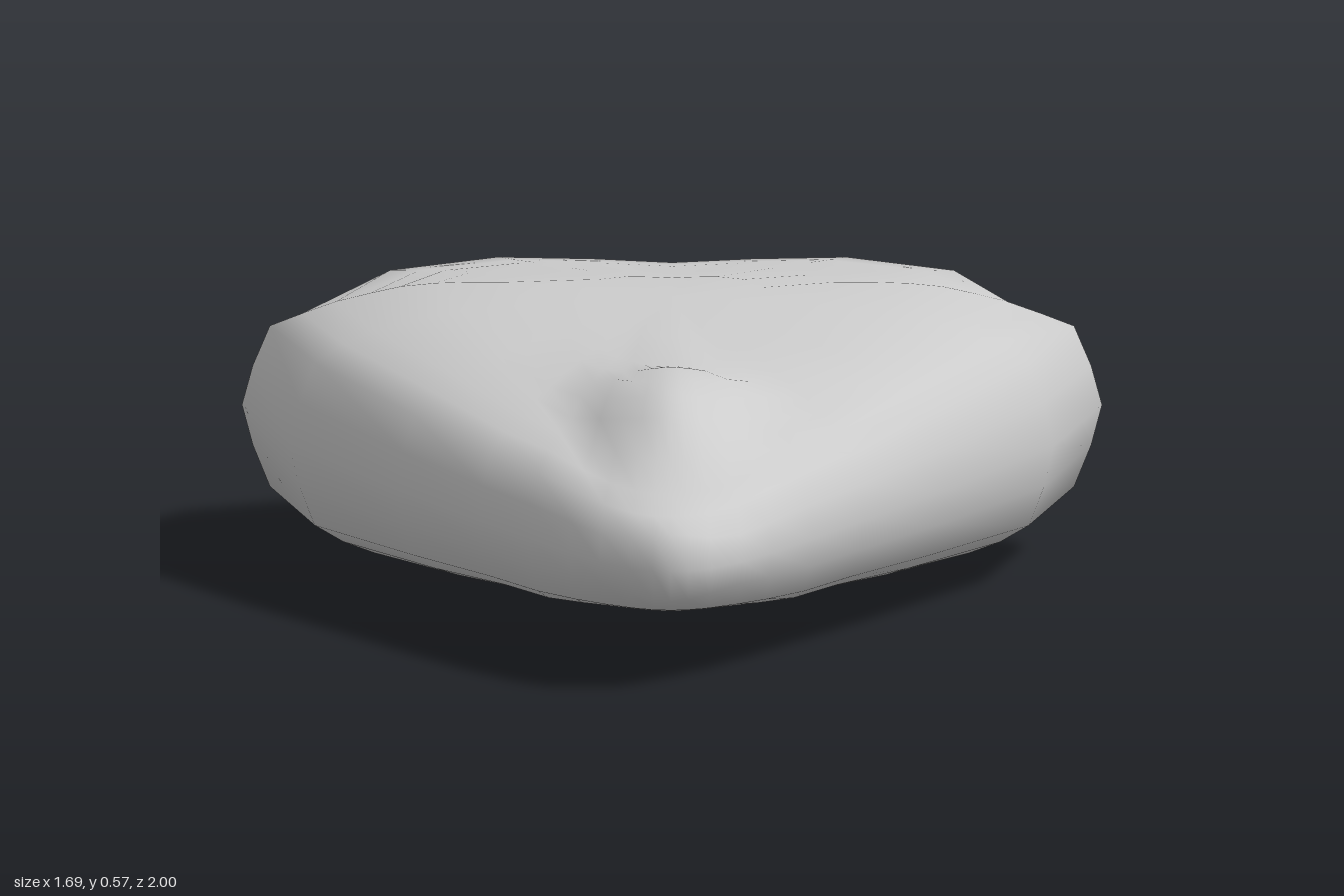
import * as THREE from 'three';
import { mergeVertices } from 'three/addons/utils/BufferGeometryUtils.js';

// Piecewise linear lookup in a table of [position, value], rising position
function lookup(table, t) {
  if (t <= table[0][0]) return table[0][1];
  for (let i = 1; i < table.length; i++) {
    const [a, va] = table[i - 1], [b, vb] = table[i];
    if (t <= b) return va + (vb - va) * (t - a) / (b - a);
  }
  return table[table.length - 1][1];
}

// Half of the heart outline, from the back notch to the front tip: [x, z]
const HALF = [[0, -0.935], [0.2, -0.98], [0.44, -1], [0.71, -0.86], [0.845, -0.56], [0.75, -0.17],
  [0.54, 0.24], [0.38, 0.52], [0.28, 0.69], [0.2, 0.825], [0.14, 0.91], [0.08, 0.972], [0.035, 0.995], [0, 1]];
const OUTLINE = [...HALF, ...HALF.slice(1, -1).reverse().map(([x, z]) => [-x, z])];
const CENTRE_Z = -0.25;

// Rings of the section: [outline scale, share of the full height at the cheeks, at the back, at the flanks]
const RINGS = [[0, 1, 1, 1], [0.2, 0.99, 0.985, 0.99], [0.38, 0.97, 0.93, 0.975], [0.47, 0.95, 0.9, 0.96],
  [0.55, 0.925, 0.875, 0.945], [0.63, 0.885, 0.85, 0.925], [0.7, 0.825, 0.825, 0.895], [0.78, 0.75, 0.8, 0.85],
  [0.86, 0.65, 0.51, 0.77], [0.935, 0.55, 0.24, 0.63], [0.975, 0.27, 0.09, 0.33], [1, 0, 0, 0]];
const BACK_WEIGHT = [[-0.93, 1], [-0.56, 0]];
const FLANK_WEIGHT = [[-0.56, 0], [0, 1], [0.7, 1], [0.95, 0]];

// Heights along z, and the raised nose
const TOP = [[-1, 0.595], [-0.36, 0.58], [0.05, 0.525], [0.4, 0.465], [0.8, 0.437], [0.92, 0.42], [0.97, 0.5]];
const MIDDLE = [[-1, 0.31], [-0.56, 0.29], [1, 0.25]];
const BOTTOM = [[-0.36, 0], [0.15, 0.048], [0.4, 0.068], [0.8, 0.075], [0.92, 0.08], [0.97, 0]];
const NOSE = [[0.1, 0], [0.24, 0.03], [0.34, 0.07], [0.44, 0.078], [0.54, 0.083], [0.63, 0.07], [0.76, 0]];
const NOSE_WIDTH = [[0.4, 0.2], [0.76, 0.12]];

function bodyGeometry() {
  const rows = [...RINGS.map(r => [...r, true]), ...RINGS.slice(0, -1).reverse().map(r => [...r, false])];
  const n = OUTLINE.length, positions = [], index = [];
  rows.forEach(([scale, cheek, back, flank, upper], i) => {
    OUTLINE.forEach(([ox, oz], j) => {
      const x = ox * scale, z = CENTRE_Z + (oz - CENTRE_Z) * scale;
      const share = cheek + (back - cheek) * lookup(BACK_WEIGHT, oz) + (flank - cheek) * lookup(FLANK_WEIGHT, oz);
      const mid = lookup(MIDDLE, z);
      let y = mid + (lookup(upper ? TOP : BOTTOM, z) - mid) * share;
      if (upper) y += lookup(NOSE, z) * Math.max(0, 1 - (x / lookup(NOSE_WIDTH, z)) ** 2);
      positions.push(x, y, z);
      if (i === rows.length - 1) return;
      const a = i * n + j, b = i * n + (j + 1) % n;
      index.push(a, b, a + n, b, b + n, a + n);
    });
  });
  const geometry = new THREE.BufferGeometry();
  geometry.setAttribute('position', new THREE.Float32BufferAttribute(positions, 3));
  geometry.setIndex(index);
  // Join the pole vertices so that the shading is smooth
  const merged = mergeVertices(geometry, 1e-4);
  merged.computeVertexNormals();
  return merged;
}

export function createModel() {
  const group = new THREE.Group();
  group.name = 'heartShapedHead';
  const body = new THREE.Mesh(bodyGeometry(), new THREE.MeshStandardMaterial({ color: 0xcccccc }));
  body.name = 'body';
  group.add(body);
  return group;
}
